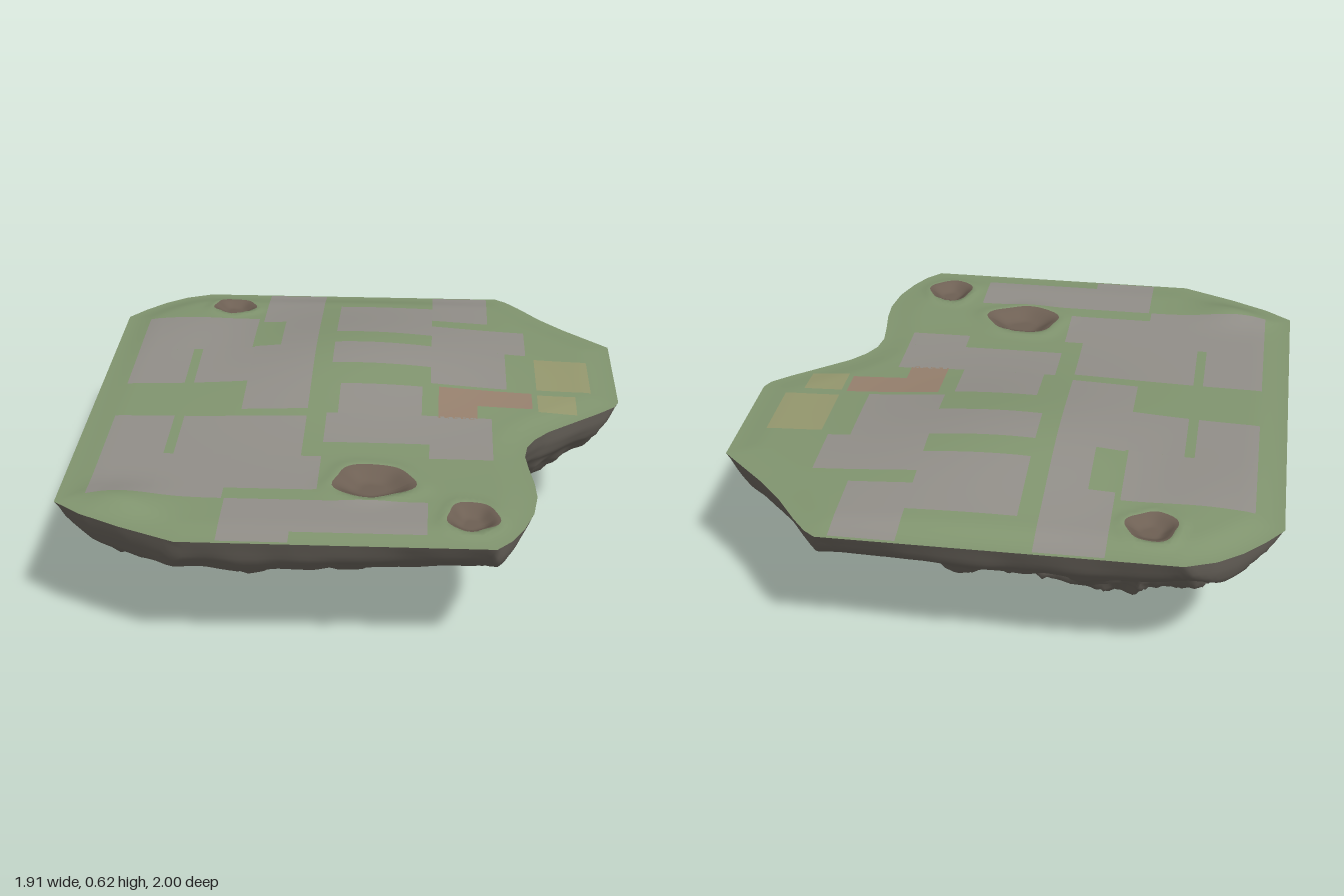
import * as THREE from 'three';

const RIM = 0.55;
const CENTRE = [-0.1, 0];
const { clamp, lerp, smoothstep } = THREE.MathUtils;

// Island outline seen from above, as x, z
const OUTLINE = [
  [-0.65, -1], [0.53, -1], [0.57, -0.97], [0.62, -0.91], [0.7, -0.8], [0.79, -0.7], [0.957, -0.54],
  [0.957, -0.06], [0.94, -0.02], [0.88, 0.035], [0.8, 0.1], [0.69, 0.19], [0.64, 0.25], [0.61, 0.31],
  [0.6, 0.38], [0.61, 0.47], [0.625, 0.57], [0.63, 0.66], [0.615, 0.77], [0.58, 0.87], [0.54, 0.945],
  [0.49, 1], [-0.53, 1], [-0.72, 0.915], [-0.86, 0.84], [-0.957, 0.765],
  [-0.957, -0.75], [-0.9, -0.825], [-0.83, -0.9], [-0.75, -0.96],
];

// Craters: x, z, radius in x, radius in z, depth
const CRATERS = [[-0.535, -0.825, 0.085, 0.078, 0.022], [0.085, 0.6, 0.138, 0.112, 0.032], [0.415, 0.82, 0.085, 0.092, 0.028]];

// Ground patches: x0, z0, x1, z1
const PAVING = [
  [-0.86, -0.69, -0.42, -0.39], [-0.86, -0.39, -0.645, -0.11], [-0.61, -0.39, -0.41, -0.11],
  [-0.4, -0.99, -0.17, -0.65], [-0.31, -0.65, -0.17, -0.4], [-0.41, -0.4, -0.17, 0.1],
  [0.27, -0.99, 0.49, -0.69], [-0.1, -0.83, 0.27, -0.51], [0.27, -0.62, 0.63, -0.4],
  [-0.1, -0.4, 0.27, -0.22], [0.27, -0.4, 0.55, -0.1], [-0.06, -0.07, 0.24, 0.13],
  [-0.1, 0.13, 0.49, 0.33], [0.27, 0.33, 0.49, 0.43], [-0.86, 0.15, -0.645, 0.73],
  [-0.61, 0.15, -0.17, 0.43], [-0.645, 0.43, -0.41, 0.73], [-0.41, 0.43, -0.1, 0.66],
  [-0.4, 0.73, 0.27, 0.93], [-0.4, 0.93, -0.17, 0.99],
];
const BRICK = [[0.3, -0.08, 0.64, 0.04], [0.3, 0.04, 0.44, 0.14]];
const SAND = [[0.66, -0.37, 0.86, -0.11], [0.66, -0.07, 0.8, 0.06]];

// Depth below the rim across x, across z, and inward from the edge
const DEPTH_X = [[-0.957, 0], [-0.9, 0.11], [-0.83, 0.18], [-0.7, 0.27], [-0.6, 0.36], [-0.5, 0.47], [-0.4, 0.51],
  [-0.27, 0.54], [-0.2, 0.48], [-0.1, 0.43], [0.05, 0.39], [0.2, 0.28], [0.35, 0.26], [0.48, 0.21], [0.55, 0.24],
  [0.65, 0.27], [0.75, 0.26], [0.82, 0.22], [0.88, 0.15], [0.957, 0]];
const DEPTH_Z = [[-1, 0], [-0.95, 0.1], [-0.88, 0.17], [-0.8, 0.22], [-0.7, 0.29], [-0.6, 0.37], [-0.5, 0.43], [-0.4, 0.48],
  [-0.27, 0.54], [-0.17, 0.49], [-0.07, 0.45], [0.03, 0.5], [0.12, 0.48], [0.2, 0.44], [0.33, 0.37], [0.5, 0.29],
  [0.65, 0.25], [0.78, 0.22], [0.89, 0.17], [0.95, 0.1], [1, 0]];
const DEPTH_EDGE = [[0, 0], [0.025, 0.065], [0.06, 0.13], [0.12, 0.195], [0.2, 0.26], [0.3, 0.34], [0.45, 0.47], [0.6, 0.56], [2, 0.6]];

function lookup(table, v) {
  for (let i = 1; i < table.length; i++) {
    const [a, p] = table[i - 1], [b, q] = table[i];
    if (v <= b) return lerp(p, q, clamp((v - a) / (b - a), 0, 1));
  }
  return table[table.length - 1][1];
}

// Smooth value noise in -1..1
function noise(x, z) {
  const hash = (i, j) => { const s = Math.sin(i * 127.1 + j * 311.7) * 43758.5453; return (s - Math.floor(s)) * 2 - 1; };
  const i = Math.floor(x), j = Math.floor(z);
  const u = smoothstep(x - i, 0, 1), v = smoothstep(z - j, 0, 1);
  return lerp(lerp(hash(i, j), hash(i + 1, j), u), lerp(hash(i, j + 1), hash(i + 1, j + 1), u), v);
}

// Noise folded into sharp crests, about -1..1
const crest = (x, z) => 1 - 3 * Math.abs(noise(x, z));

function edgeDistance(x, z) {
  let best = 9;
  OUTLINE.forEach(([ax, az], i) => {
    const [bx, bz] = OUTLINE[(i + 1) % OUTLINE.length];
    const dx = bx - ax, dz = bz - az;
    const t = clamp(((x - ax) * dx + (z - az) * dz) / (dx * dx + dz * dz), 0, 1);
    best = Math.min(best, Math.hypot(x - ax - dx * t, z - az - dz * t));
  });
  return best;
}

// Uneven crater edge, as a factor on its radius
const wobble = (angle) => 1 + 0.05 * Math.sin(3 * angle + 1) + 0.04 * Math.sin(5 * angle);

// Gentle hill, corner mounds and craters
function topHeight(x, z, extraDip = 0) {
  const bell = (cx, cz, sx, sz) => Math.exp(-(((x - cx) / sx) ** 2) - ((z - cz) / sz) ** 2);
  const inner = smoothstep(edgeDistance(x, z), 0, 0.13);
  let y = 0.007 + 0.062 * bell(0, -0.35, 0.5, 0.45) + 0.024 * bell(-0.74, 0.77, 0.14, 0.11) + 0.018 * bell(-0.7, -0.65, 0.2, 0.3);
  for (const [cx, cz, rx, rz, depth] of CRATERS) {
    const u = (x - cx) / rx, v = (z - cz) / rz;
    const d = Math.hypot(u, v) / wobble(Math.atan2(v, u));
    y += 0.006 * Math.exp(-(((d - 1.1) / 0.25) ** 2));
    y -= (depth + extraDip) * (1 - smoothstep(d, 0.35, 1));
  }
  return RIM + y * inner;
}

// Rocky underside: returns a displaced point
function rockPoint(x, z) {
  const d = edgeDistance(x, z);
  const a = lookup(DEPTH_X, x), b = lookup(DEPTH_Z, z);
  const body = 0.65 * Math.min(a, b) + 0.35 * a * b / 0.54;
  let depth = Math.min(lookup(DEPTH_EDGE, d), body);
  const rough = smoothstep(depth, 0.13, 0.28);
  depth += rough * (0.03 * crest(x * 4.5 + 3, z * 4.5) + 0.02 * crest(x * 10, z * 10 + 7) + 0.009 * crest(x * 22, z * 22));
  depth += 0.012 * noise(x * 9 + 20, z * 9) * smoothstep(d, 0, 0.06);
  const push = 0.035 * rough;
  return [x + push * noise(x * 9, z * 9 + 40), Math.max(0, RIM - Math.max(0, depth)), z + push * noise(x * 9 + 60, z * 9)];
}

// Concentric rings from the outline to the centre
function ringSurface(rings, point, facesUp) {
  const loop = [];
  OUTLINE.forEach(([ax, az], i) => {
    const [bx, bz] = OUTLINE[(i + 1) % OUTLINE.length];
    const n = Math.ceil(Math.hypot(bx - ax, bz - az) / 0.025);
    for (let k = 0; k < n; k++) loop.push([lerp(ax, bx, k / n), lerp(az, bz, k / n)]);
  });
  const n = loop.length, pos = [], index = [];
  const quad = (a, b, c, d) => index.push(...(facesUp ? [a, c, b, b, c, d] : [a, b, c, b, d, c]));
  for (let r = 0; r <= rings; r++) {
    const t = 1 - (r / rings) ** 1.2;
    for (const [x, z] of loop) pos.push(...point(lerp(CENTRE[0], x, t), lerp(CENTRE[1], z, t)));
  }
  for (let r = 0; r < rings; r++) for (let i = 0; i < n; i++) {
    const j = (i + 1) % n;
    quad(r * n + i, r * n + j, (r + 1) * n + i, (r + 1) * n + j);
  }
  const g = new THREE.BufferGeometry();
  g.setAttribute('position', new THREE.Float32BufferAttribute(pos, 3));
  g.setIndex(index);
  g.computeVertexNormals();
  return g;
}

// Lay a flat geometry onto the ground
function drape(g, lift) {
  const p = g.attributes.position;
  for (let i = 0; i < p.count; i++) p.setY(i, topHeight(p.getX(i), p.getZ(i)) + lift);
  g.computeVertexNormals();
  return g;
}

export function createModel() {
  const group = new THREE.Group();
  const add = (name, geometry, color) => {
    const mesh = new THREE.Mesh(geometry, new THREE.MeshStandardMaterial({ color }));
    mesh.name = name;
    group.add(mesh);
  };

  add('rockUnderside', ringSurface(56, rockPoint, false), 0x79736a);
  add('grassTop', ringSurface(44, (x, z) => [x, topHeight(x, z, 0.01), z], true), 0x829670);

  const patches = (name, rects, color) => rects.forEach(([x0, z0, x1, z1]) => {
    const w = x1 - x0, h = z1 - z0;
    const g = new THREE.PlaneGeometry(w, h, Math.ceil(w / 0.03), Math.ceil(h / 0.03));
    g.rotateX(-Math.PI / 2).translate((x0 + x1) / 2, 0, (z0 + z1) / 2);
    add(name, drape(g, 0.002), color);
  });
  patches('pavingSlab', PAVING, 0x93908a);
  patches('brickPatch', BRICK, 0x98826f);
  patches('sandPatch', SAND, 0x96996f);

  // Bare earth lining the craters
  for (const [x, z, rx, rz] of CRATERS) {
    const g = new THREE.RingGeometry(0.005, 1, 40, 10).rotateX(-Math.PI / 2);
    const p = g.attributes.position;
    for (let i = 0; i < p.count; i++) {
      const u = p.getX(i), v = p.getZ(i), k = wobble(Math.atan2(v, u));
      p.setXYZ(i, x + u * k * rx, 0, z + v * k * rz);
    }
    add('craterEarth', drape(g, 0.003), 0x6e6054);
  }
  return group;
}
